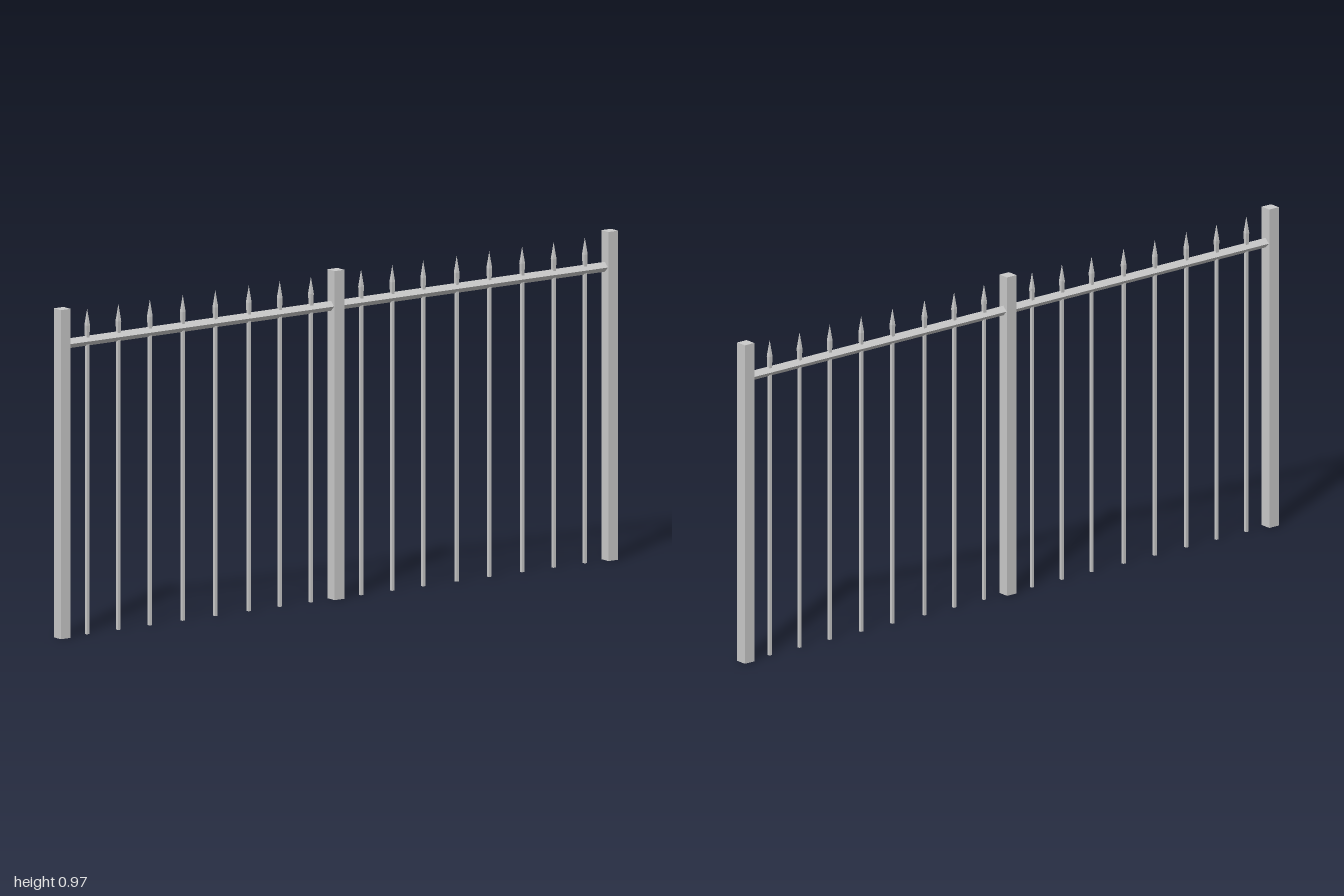
import * as THREE from 'three';

export function createModel() {
  const group = new THREE.Group();
  const material = new THREE.MeshStandardMaterial({ color: 0xcccccc, flatShading: true });
  const add = (geometry, name, x, y) => {
    const mesh = new THREE.Mesh(geometry, material);
    mesh.name = name;
    mesh.position.set(x, y, 0);
    group.add(mesh);
    return mesh;
  };

  // Square posts at both ends and in the middle
  const postHeight = 0.97, postWidth = 0.035;
  const postGeometry = new THREE.BoxGeometry(postWidth, postHeight, postWidth);
  const postX = 1 - postWidth / 2;
  for (const x of [-postX, 0, postX]) add(postGeometry, 'post', x, postHeight / 2);

  // Square rails turned on edge, one for each bay
  const railGeometry = new THREE.CylinderGeometry(0.0147, 0.0147, postX, 4).rotateZ(Math.PI / 2);
  for (const side of [-1, 1]) add(railGeometry, 'rail', side * postX / 2, 0.865);

  // Square pickets, each flaring to a shoulder and ending in a point
  const profile = [[0, 0], [0.0045, 0], [0.0045, 0.865], [0.006, 0.91], [0, 0.96]]
    .map(([half, y]) => new THREE.Vector2(half * Math.SQRT2, y));
  const picketGeometry = new THREE.LatheGeometry(profile, 4, Math.PI / 4);
  for (const x of [0.09, 0.202, 0.313, 0.433, 0.55, 0.668, 0.781, 0.893]) {
    for (const side of [-1, 1]) add(picketGeometry, 'picket', side * x, 0);
  }

  return group;
}
